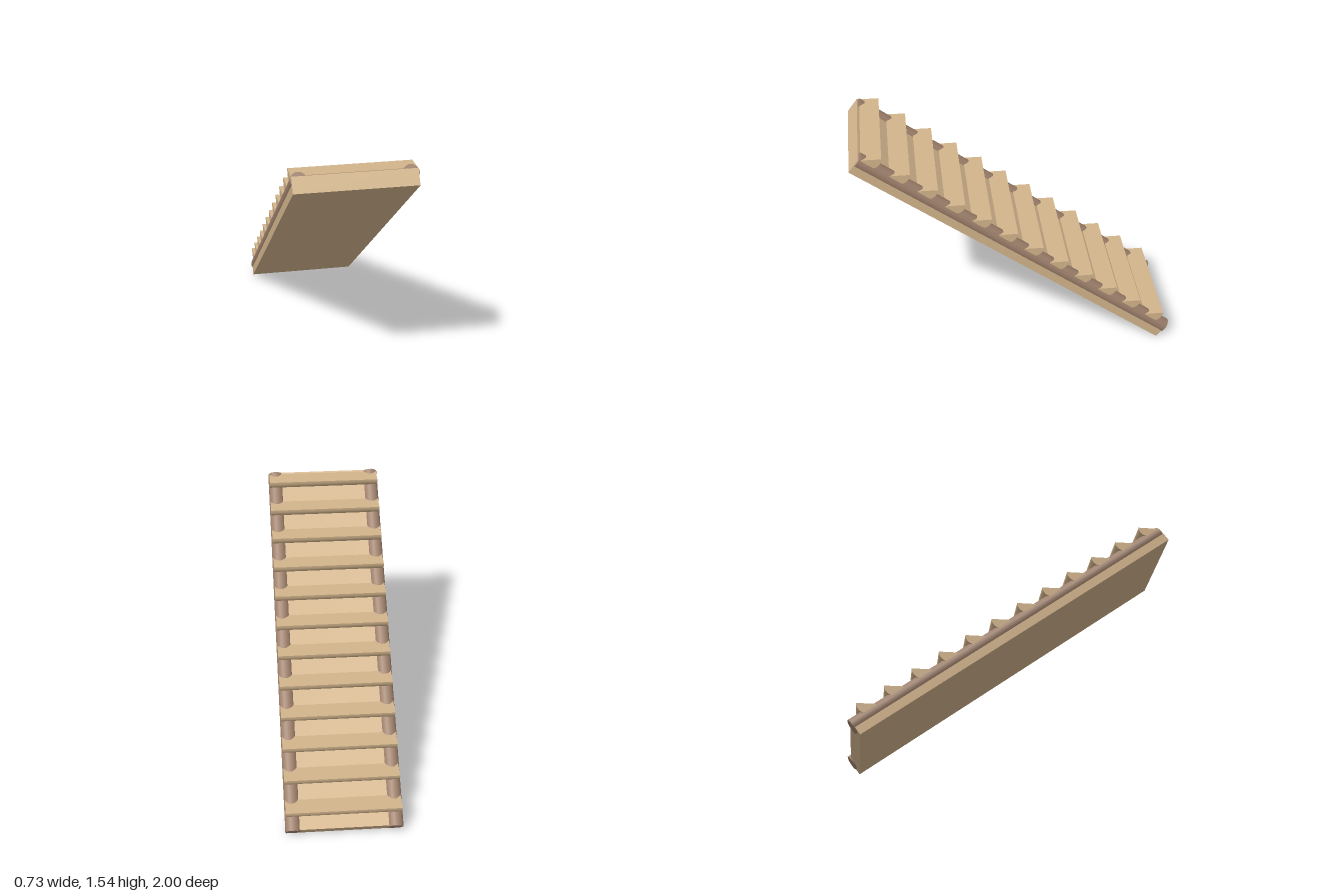
import * as THREE from 'three';
import { toCreasedNormals } from 'three/addons/utils/BufferGeometryUtils.js';

const SLOPE = Math.atan2(3, 4);
const LENGTH = 2.4, THICKNESS = 0.1, WIDTH = 0.715;
const STEPS = 12, STEP_RADIUS = 0.06;

export function createModel() {
  const model = new THREE.Group();
  model.name = 'rampWithSteps';
  const plankWood = new THREE.MeshStandardMaterial({ color: 0xd2b48c });
  const logWood = new THREE.MeshStandardMaterial({ color: 0xa0826d });

  const add = (parent, name, geometry, material, x, y, z) => {
    const mesh = new THREE.Mesh(geometry, material);
    mesh.name = name;
    mesh.position.set(x, y, z);
    parent.add(mesh);
    return mesh;
  };

  // Sloping base: local z runs up the ramp, origin at its lowest bottom edge
  const ramp = new THREE.Group();
  ramp.name = 'ramp';
  ramp.position.z = -0.92;
  ramp.rotation.x = -SLOPE;
  model.add(ramp);
  add(ramp, 'board', new THREE.BoxGeometry(WIDTH, THICKNESS, LENGTH), plankWood,
    0, THICKNESS / 2, LENGTH / 2);

  // Round side logs sunk into the edges of the board, set slightly downhill
  const log = new THREE.CylinderGeometry(0.0485, 0.0485, LENGTH, 12);
  log.rotateY(Math.PI / 12);
  log.rotateX(Math.PI / 2);
  for (const [name, side] of [['leftLog', 1], ['rightLog', -1]]) {
    add(ramp, name, log, logWood, side * 0.317, 0.079, LENGTH / 2 - 0.006);
  }

  // Level half-log steps, flat side up
  const profile = new THREE.Shape();
  profile.absarc(0, 0, STEP_RADIUS, Math.PI, Math.PI * 2, false);
  profile.closePath();
  let step = new THREE.ExtrudeGeometry(profile, { depth: WIDTH, bevelEnabled: false, curveSegments: 8 });
  step.translate(0, 0, -WIDTH / 2);
  step.rotateY(Math.PI / 2);
  step = toCreasedNormals(step, 0.7);
  for (let i = 0; i < STEPS; i++) {
    add(model, `step${i + 1}`, step, plankWood, 0, 0.197 + 0.12 * i, -0.895 + 0.16 * i);
  }
  return model;
}
